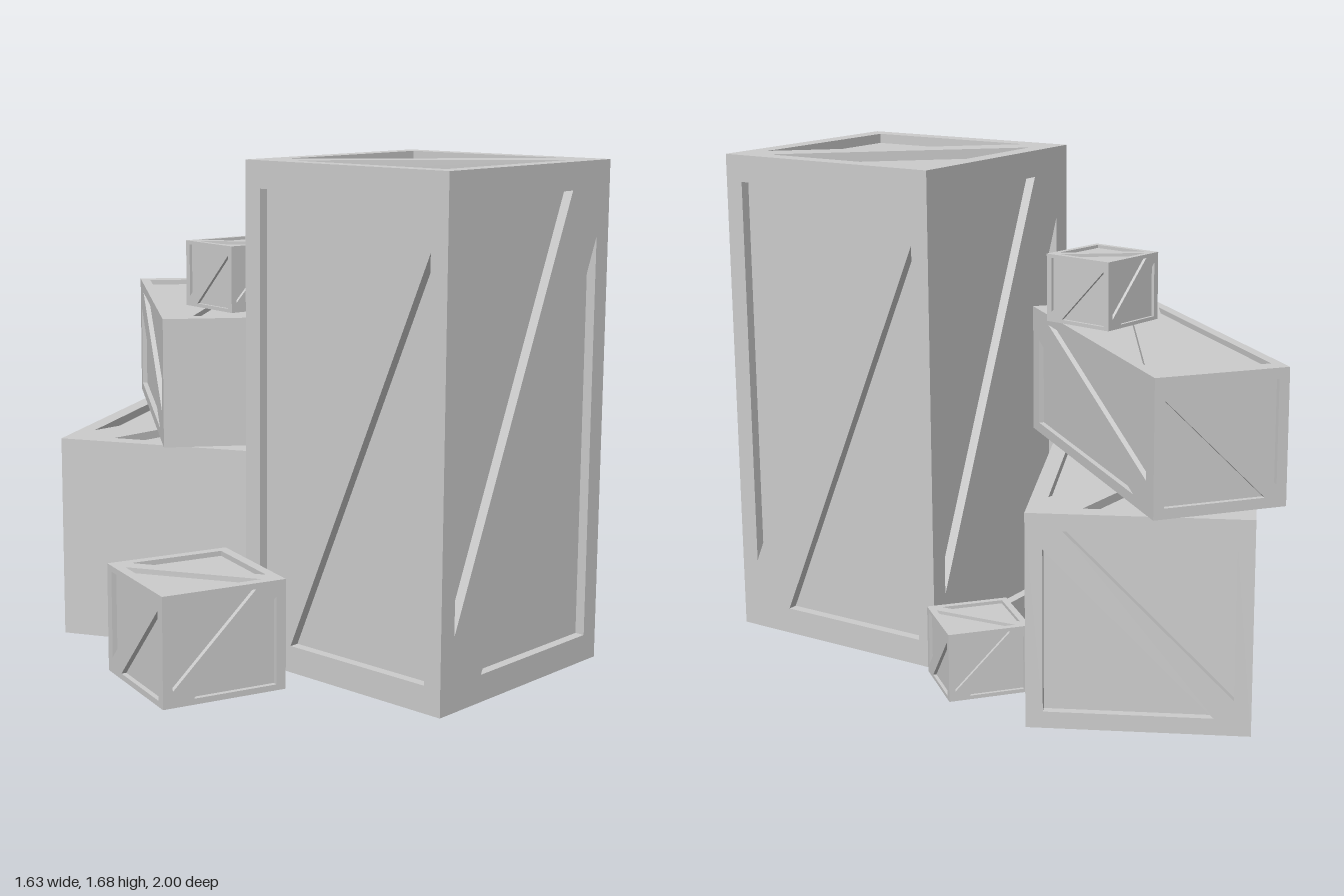
import * as THREE from 'three';
import { mergeGeometries } from 'three/addons/utils/BufferGeometryUtils.js';

const material = new THREE.MeshStandardMaterial({ color: 0xcccccc, flatShading: true });
const vec = (x, y) => new THREE.Vector2(x, y);

// The two triangular recesses of a face; the second is the first turned by 180 degrees
function recesses(w, h, isTop) {
  const marginU = 0.078, marginV = isTop ? 0.078 : 0.054;
  const a = w * (0.5 - marginU), b = h * (0.5 - marginV);
  const legU = w * (isTop ? 0.757 : 0.677), legV = h * (isTop ? 0.757 : 0.8);
  const first = isTop
    ? [vec(-a, -b), vec(-a + legU, -b), vec(-a, -b + legV)]
    : [vec(-a, b), vec(-a, b - legV), vec(-a + legU, b)];
  return [first, first.map((p) => vec(-p.x, -p.y))];
}

// A framed face in the xy plane, looking along +z
function panelFace(w, h, depth, isTop) {
  const frame = new THREE.Shape([vec(-w / 2, -h / 2), vec(w / 2, -h / 2), vec(w / 2, h / 2), vec(-w / 2, h / 2)]);
  const parts = [];
  const walls = [];
  for (const tri of recesses(w, h, isTop)) {
    frame.holes.push(new THREE.Path(tri));
    // sunken panel
    parts.push(new THREE.ShapeGeometry(new THREE.Shape(tri)).translate(0, 0, -depth));
    // walls around the recess
    tri.forEach((p, i) => {
      const q = tri[(i + 1) % 3];
      walls.push(p.x, p.y, 0, q.x, q.y, 0, q.x, q.y, -depth);
      walls.push(p.x, p.y, 0, q.x, q.y, -depth, p.x, p.y, -depth);
    });
  }
  parts.push(new THREE.ShapeGeometry(frame));
  const wall = new THREE.BufferGeometry();
  wall.setAttribute('position', new THREE.Float32BufferAttribute(walls, 3));
  wall.computeVertexNormals();
  const flat = parts.map((g) => g.toNonIndexed().deleteAttribute('uv'));
  return mergeGeometries([...flat, wall]);
}

// A crate centred on its own middle: four braced sides, braced top, plain base
function crateGeometry(w, h) {
  const depth = w * 0.04;
  const faces = [];
  for (let i = 0; i < 4; i++) {
    faces.push(panelFace(w, h, depth, false).translate(0, 0, w / 2).rotateY((i * Math.PI) / 2));
  }
  faces.push(panelFace(w, w, depth, true).rotateX(-Math.PI / 2).translate(0, h / 2, 0));
  const base = new THREE.PlaneGeometry(w, w).toNonIndexed().deleteAttribute('uv');
  faces.push(base.rotateX(Math.PI / 2).translate(0, -h / 2, 0));
  return mergeGeometries(faces);
}

export function createModel() {
  const model = new THREE.Group();
  model.name = 'crateStack';

  // x, z: centre; y: underside; w, h: crate width and height; lying: tipped on its side
  const crates = [
    { name: 'tallCrate', x: 0.153, y: 0, z: 0.583, w: 0.835, h: 1.68, yaw: 0 },
    { name: 'lowerLyingCrate', x: 0.151, y: 0.004, z: -0.422, w: 0.7, h: 1.13, yaw: -1.117, lying: true },
    { name: 'upperLyingCrate', x: 0.152, y: 0.705, z: -0.422, w: 0.438, h: 1.13, yaw: -0.675, lying: true },
    { name: 'mediumCrate', x: -0.542, y: 0.006, z: 0.207, w: 0.433, h: 0.366, yaw: -0.325 },
    { name: 'smallCrate', x: 0.586, y: 0.004, z: -0.023, w: 0.274, h: 0.229, yaw: -0.692 },
    { name: 'smallTopCrate', x: 0.041, y: 1.143, z: -0.167, w: 0.264, h: 0.228, yaw: -0.141 },
  ];
  for (const c of crates) {
    const geometry = crateGeometry(c.w, c.h);
    if (c.lying) geometry.rotateX(-Math.PI / 2);
    const mesh = new THREE.Mesh(geometry, material);
    mesh.name = c.name;
    mesh.position.set(c.x, c.y + (c.lying ? c.w : c.h) / 2, c.z);
    mesh.rotation.y = c.yaw;
    model.add(mesh);
  }
  return model;
}
